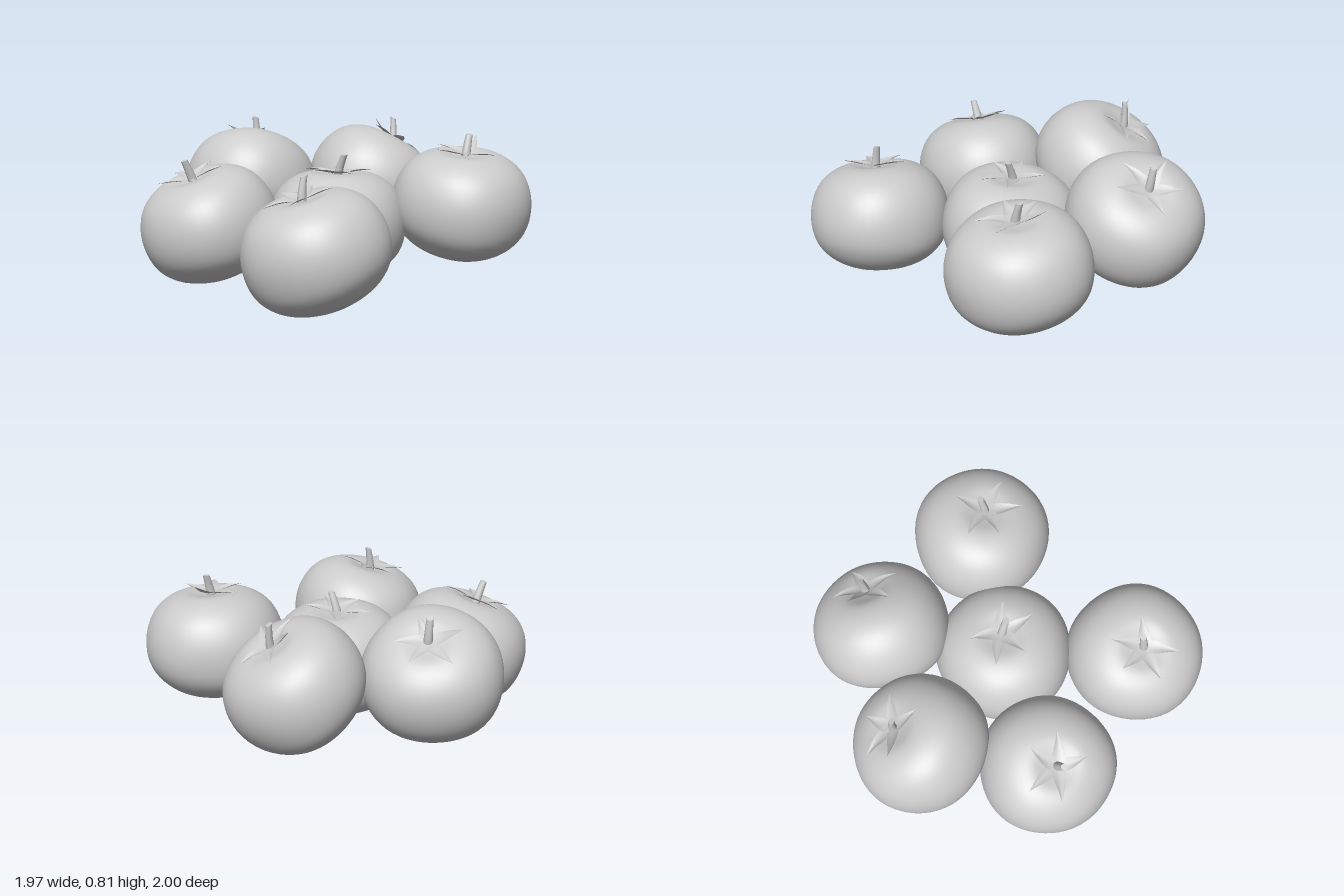
import * as THREE from 'three';
import { mergeVertices } from 'three/addons/utils/BufferGeometryUtils.js';

const material = new THREE.MeshStandardMaterial({ color: 0xcccccc });
const leafMaterial = new THREE.MeshStandardMaterial({ color: 0xcccccc, side: THREE.DoubleSide });

// Fruit profile from the bottom to the dimple at the top: [radius, height]
const profile = [
  [0, -0.298], [0.08, -0.296], [0.18, -0.278], [0.28, -0.222], [0.35, -0.135], [0.375, -0.025],
  [0.362, 0.085], [0.315, 0.18], [0.24, 0.243], [0.15, 0.272], [0.07, 0.26], [0, 0.25],
].map(([r, y]) => new THREE.Vector2(r, y));

// Centre, lean of the axis (x, z), size, turn of the calyx in degrees,
// stem direction, and which leaf curls upward
const tomatoes = [
  { at: [-0.16, 0.43, -0.635], lean: [0.22, -0.45], size: 1, turn: -55, stem: [-0.01, 0.14, -0.02], curled: 3 },
  { at: [0.605, 0.42, -0.46], lean: [0.1, 0.03], size: 1.01, turn: -99, stem: [0, 0.12, -0.03], curled: 0 },
  { at: [-0.615, 0.435, -0.08], lean: [-0.23, -0.45], size: 1, turn: 45, stem: [-0.01, 0.145, 0], curled: 1 },
  { at: [0.105, 0.315, 0], lean: [-0.03, -0.05], size: 1, turn: -122, stem: [0.045, 0.12, 0], curled: -1 },
  { at: [-0.33, 0.335, 0.55], lean: [-0.17, 0.29], size: 0.99, turn: 47, stem: [-0.015, 0.115, 0.05], curled: -1 },
  { at: [0.485, 0.32, 0.62], lean: [-0.16, 0.21], size: 1.01, turn: -29, stem: [0, 0.13, -0.015], curled: -1 },
];
const leafAngles = [0, 85, 157, 212, 287];

// Lathed body, made slightly lopsided and welded for smooth shading
function fruitGeometry() {
  const points = new THREE.SplineCurve(profile).getPoints(40);
  points.forEach((p) => { p.x = Math.max(0, p.x); });
  points[0].x = points[points.length - 1].x = 0;
  let geometry = new THREE.LatheGeometry(points, 56);
  const pos = geometry.attributes.position;
  for (let i = 0; i < pos.count; i++) {
    const x = pos.getX(i), y = pos.getY(i), z = pos.getZ(i);
    const a = Math.atan2(z, x), r = Math.hypot(x, z);
    const k = 1 + 0.01 * Math.sin(3 * a + 1 + 3 * y) + 0.006 * Math.cos(5 * a);
    const dip = y < 0 ? 0.015 * Math.sin(2 * a + 0.6) * (r / 0.37) ** 2 : 0;
    pos.setXYZ(i, x * k, y + dip * Math.min(1, -y / 0.15), z * k);
  }
  geometry.deleteAttribute('uv');
  geometry.deleteAttribute('normal');
  geometry = mergeVertices(geometry, 1e-5);
  geometry.computeVertexNormals();
  return geometry;
}

// Pointed leaf along +x that follows the dimple, lifts and bends sideways at its tip
function leafGeometry(length, lift, bend) {
  const geometry = new THREE.PlaneGeometry(1, 1, 10, 4);
  const pos = geometry.attributes.position;
  for (let i = 0; i < pos.count; i++) {
    const t = pos.getX(i) + 0.5, s = pos.getY(i) * 2;
    const width = 0.034 * (1 - t) ** 0.85 * (1 + 0.5 * Math.sin(Math.PI * t));
    const surface = 0.264 + 0.014 * Math.min(1, length * t / 0.12);
    const y = surface + lift * t ** 2.2 + 0.01 * s * s * Math.sin(Math.PI * t);
    pos.setXYZ(i, length * t, y, -s * width + bend * t * t);
  }
  geometry.computeVertexNormals();
  return geometry;
}

// Tapered, slightly curved stem with a cut-off top
function stemGeometry(direction) {
  const geometry = new THREE.CylinderGeometry(0.018, 0.025, 1, 12, 5);
  const pos = geometry.attributes.position;
  for (let i = 0; i < pos.count; i++) {
    const t = pos.getY(i) + 0.5;
    pos.setXYZ(i, pos.getX(i) + direction.x * t ** 1.3, direction.y * t, pos.getZ(i) + direction.z * t ** 1.3);
  }
  geometry.computeVertexNormals();
  return geometry;
}

function add(parent, geometry, name, mat = material) {
  const mesh = new THREE.Mesh(geometry, mat);
  mesh.name = name;
  parent.add(mesh);
  return mesh;
}

export function createModel() {
  const model = new THREE.Group();
  model.name = 'tomatoes';
  const body = fruitGeometry();
  const up = new THREE.Vector3(0, 1, 0);

  tomatoes.forEach(({ at, lean, size, turn, stem, curled }) => {
    const tomato = new THREE.Group();
    tomato.name = 'tomato';
    tomato.position.set(...at);
    const axis = new THREE.Vector3(lean[0], Math.sqrt(1 - lean[0] ** 2 - lean[1] ** 2), lean[1]);
    tomato.quaternion.setFromUnitVectors(up, axis);
    tomato.scale.setScalar(size);
    model.add(tomato);

    // Body
    add(tomato, body, 'fruit').rotation.y = -THREE.MathUtils.degToRad(turn);

    // Calyx of five leaves
    const calyx = new THREE.Group();
    calyx.name = 'calyx';
    tomato.add(calyx);
    leafAngles.forEach((angle, i) => {
      const lift = i === curled ? 0.065 : 0.006 + 0.01 * (i % 2);
      const geometry = leafGeometry(0.17 + 0.015 * (i % 3), lift, i % 2 ? 0.03 : -0.03);
      add(calyx, geometry, 'leaf', leafMaterial).rotation.y = -THREE.MathUtils.degToRad(angle + turn);
    });

    // Stem, its direction turned into the leaning frame of the fruit
    const direction = new THREE.Vector3(...stem).applyQuaternion(tomato.quaternion.clone().invert());
    add(tomato, stemGeometry(direction), 'stem').position.y = 0.25;
  });
  return model;
}
